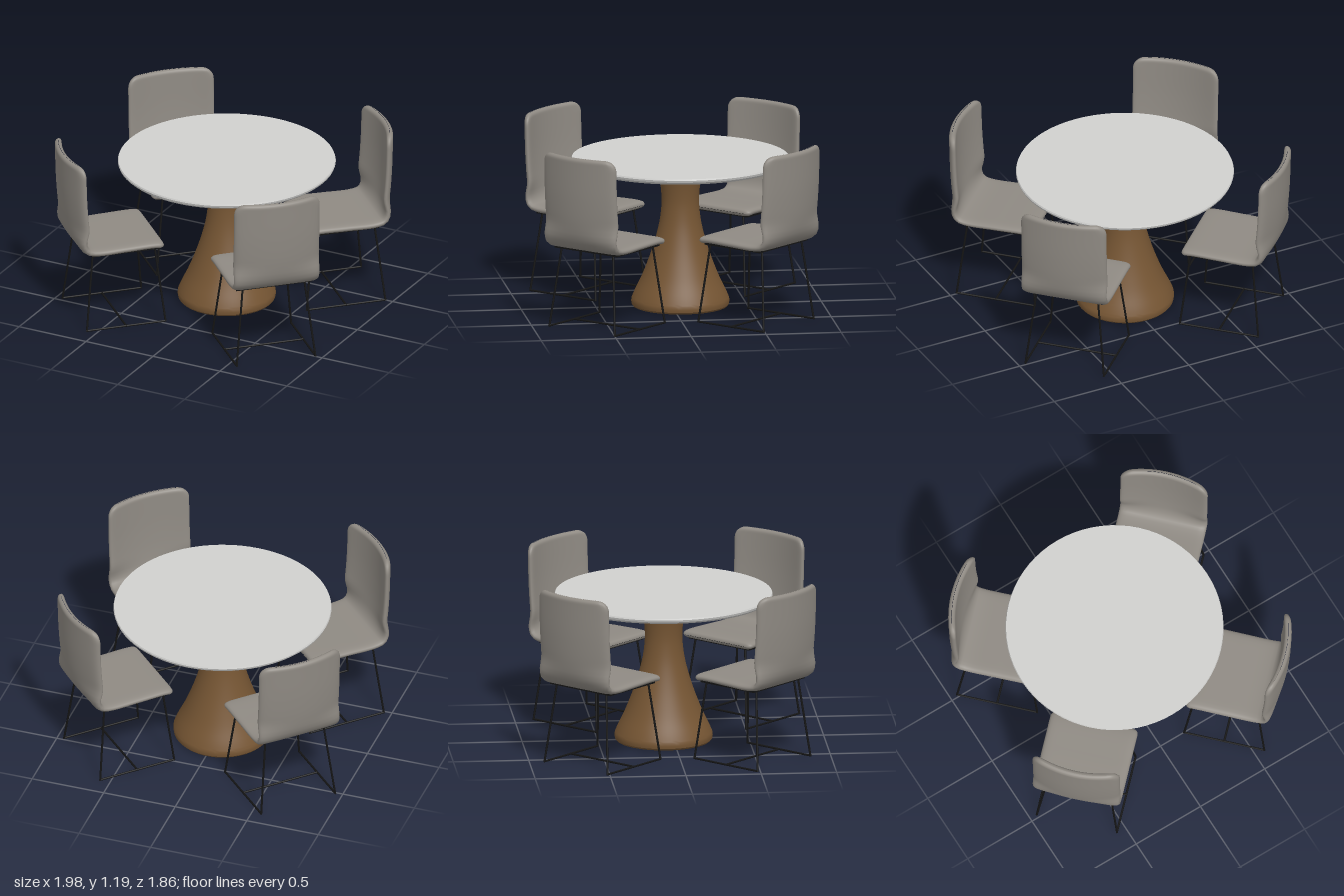
import * as THREE from 'three';
import { toCreasedNormals } from 'three/addons/utils/BufferGeometryUtils.js';

const mat = (name, color) => {
  const m = new THREE.MeshStandardMaterial({ color });
  m.name = name;
  return m;
};

function addMesh(parent, name, geometry, material) {
  const m = new THREE.Mesh(geometry, material);
  m.name = name;
  parent.add(m);
  return m;
}

const lathe = (pts) => toCreasedNormals(
  new THREE.LatheGeometry(pts.map(([r, y]) => new THREE.Vector2(r, y)), 72), 0.5);

// Padded shell: a rounded cross-section swept from seat front up to the backrest top
function shellGeometry() {
  const W = 0.296, T = 0.024, ROWS = 56, RING = 40;
  const path = new THREE.CatmullRomCurve3([
    [0.56, 0.262], [0.567, 0.2], [0.564, 0], [0.562, -0.2], [0.578, -0.265], [0.63, -0.305],
    [0.72, -0.325], [0.9, -0.342], [1.19, -0.352],
  ].map(([y, z]) => new THREE.Vector3(0, y, z)), false, 'centripetal');
  const length = path.getLength();
  const round = (d, r) => (d >= r ? 0 : r - Math.sqrt(r * r - (r - d) ** 2));
  const pos = [], index = [];
  for (let i = 0; i <= ROWS; i++) {
    const u = (1 - Math.cos((Math.PI * i) / ROWS)) / 2;
    const p = path.getPointAt(u), t = path.getTangentAt(u);
    const dFront = u * length, dTop = (1 - u) * length;
    const w = W - round(dFront, 0.035) - round(dTop, 0.075);
    const half = Math.max(T - round(Math.min(dFront, dTop), T), 0.001);
    // side wings curl forward on the backrest only
    const wing = 0.06 * THREE.MathUtils.smoothstep(p.y, 0.56, 0.75);
    for (let j = 0; j < RING; j++) {
      const a = (2 * Math.PI * j) / RING, c = Math.cos(a);
      const x = w * c;
      const n = half * Math.sign(Math.sin(a)) * Math.sqrt(Math.max(0, 1 - Math.abs(c) ** 16))
        + wing * (x / W) ** 2;
      pos.push(x, p.y - t.z * n, p.z + t.y * n);
      if (i < ROWS) {
        const k = (j + 1) % RING, r0 = i * RING, r1 = r0 + RING;
        index.push(r0 + j, r1 + j, r0 + k, r0 + k, r1 + j, r1 + k);
      }
    }
  }
  const g = new THREE.BufferGeometry();
  g.setAttribute('position', new THREE.Float32BufferAttribute(pos, 3));
  g.setIndex(index);
  g.computeVertexNormals();
  return g;
}

function addRod(parent, name, from, to, material) {
  const a = new THREE.Vector3(...from), b = new THREE.Vector3(...to);
  const dir = b.clone().sub(a);
  const rod = addMesh(parent, name, new THREE.CylinderGeometry(0.007, 0.007, dir.length() + 0.008, 8), material);
  rod.position.copy(a).add(b).multiplyScalar(0.5);
  rod.quaternion.setFromUnitVectors(new THREE.Vector3(0, 1, 0), dir.normalize());
}

// Chair faces +z, centred on its leg frame
function createChair(fabric, black) {
  const chair = new THREE.Group();
  addMesh(chair, 'seatShell', shellGeometry(), fabric);
  addMesh(chair, 'seatUnderside', new THREE.BoxGeometry(0.52, 0.016, 0.46), black).position.set(0, 0.538, 0);

  const F = 0.272, H = 0.213, y0 = 0.007, y1 = 0.54;
  for (const s of [-1, 1]) {
    addRod(chair, 'floorRunner', [s * F, y0, -F], [s * F, y0, F], black);
    for (const e of [-1, 1]) addRod(chair, 'leg', [s * F, y0, e * F], [s * H, y1, e * H], black);
  }
  addRod(chair, 'crossBar', [-F, y0, 0], [F, y0, 0], black);
  return chair;
}

export function createModel() {
  const fabric = mat('grey fabric', 0x8f8a83);
  const black = mat('black metal', 0x141414);
  const wood = mat('brown wood', 0x755533);
  const stone = mat('pale table top', 0xd0d0ce);
  const model = new THREE.Group();
  model.name = 'diningSet';

  // Round table on a flared pedestal
  const table = new THREE.Group();
  table.name = 'table';
  table.position.set(-0.008, 0, -0.062);
  model.add(table);
  addMesh(table, 'tableTop', lathe([
    [0, 0.952], [0.66, 0.952], [0.7, 0.962], [0.716, 0.976], [0.721, 0.99], [0.717, 1], [0, 1],
  ]), stone);
  const flare = new THREE.SplineCurve([
    [0.323, 0.05], [0.302, 0.1], [0.25, 0.21], [0.19, 0.37], [0.145, 0.53], [0.126, 0.66],
    [0.126, 0.76], [0.14, 0.87], [0.162, 0.955],
  ].map((p) => new THREE.Vector2(...p))).getPoints(32).map((p) => [p.x, p.y]);
  addMesh(table, 'pedestal', lathe([[0, 0], [0.312, 0], [0.322, 0.012], [0.325, 0.03], ...flare, [0, 0.955]]), wood);

  // Four chairs on the diagonals, facing the table
  for (const [x, z] of [[0.567, 0.503], [-0.565, 0.479], [0.567, -0.49], [-0.567, -0.516]]) {
    const chair = createChair(fabric, black);
    chair.name = 'chair';
    chair.position.set(x, 0, z);
    chair.rotation.y = Math.atan2(-Math.sign(x), -Math.sign(z));
    model.add(chair);
  }
  return model;
}
